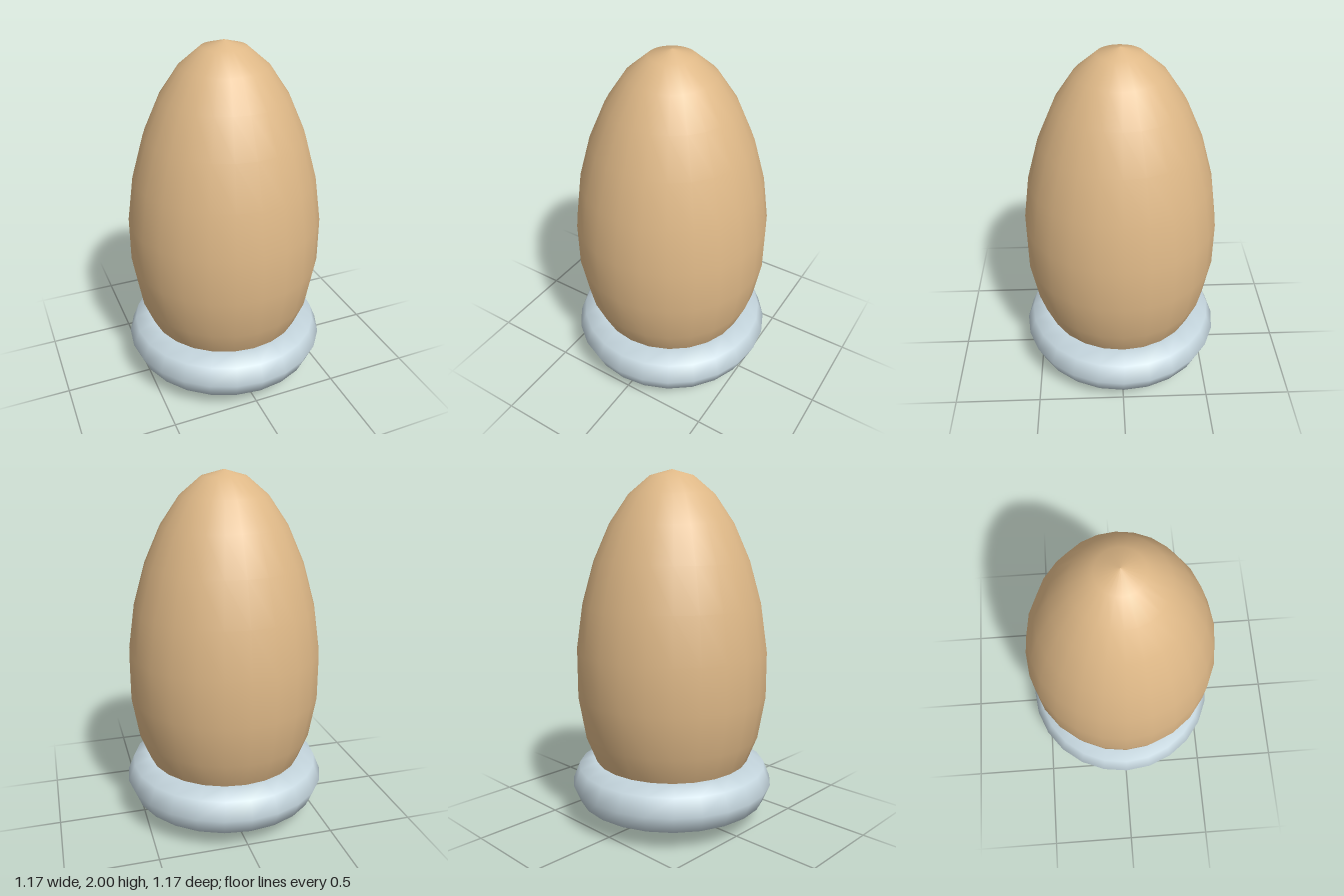
import * as THREE from 'three';

export function createModel() {
  const model = new THREE.Group();
  const tan = new THREE.MeshStandardMaterial({ name: 'warm tan', color: 0xdeb887 });
  const paleBlue = new THREE.MeshStandardMaterial({ name: 'pale blue grey', color: 0xc5d6de });

  // Egg: an ellipse profile that narrows towards the top
  const rings = 12;
  const profile = [];
  for (let i = 0; i <= rings; i++) {
    const a = (i / rings) * Math.PI;
    const rise = -Math.cos(a);
    const radius = i % rings === 0 ? 0 : Math.sin(a) * (0.547 - 0.075 * rise);
    profile.push(new THREE.Vector2(radius, 1 + rise));
  }
  const egg = new THREE.Mesh(new THREE.LatheGeometry(profile, 24), tan);
  egg.name = 'egg';
  model.add(egg);

  // Thick ring that holds the egg near its base
  const ring = new THREE.Mesh(new THREE.TorusGeometry(0.45, 0.136, 8, 24), paleBlue);
  ring.name = 'supportRing';
  ring.rotation.x = Math.PI / 2;
  ring.position.y = 0.215;
  model.add(ring);

  return model;
}
